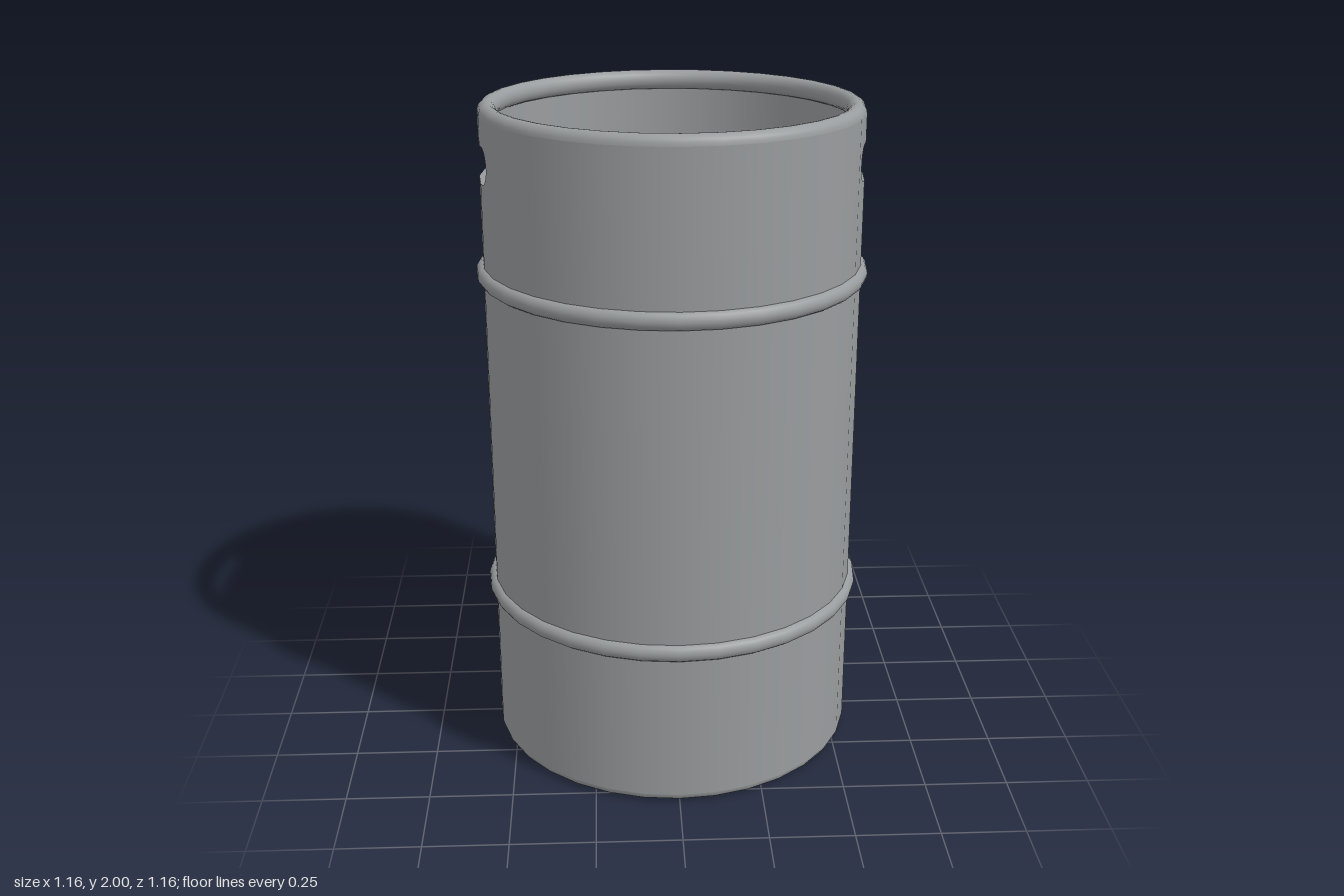
import * as THREE from 'three';
import { toCreasedNormals } from 'three/addons/utils/BufferGeometryUtils.js';

const SIDES = 32, STEP = (Math.PI * 2) / SIDES;
const OUTER = 0.56, INNER = 0.53;
const BAND_LOW = 1.68, BAND_HIGH = 1.97;               // height range holding the handle slots
const SLOT = { y: 1.835, half: 0.18, r: 0.055 };

const lathe = (pts, sides = SIDES, start = 0, length = Math.PI * 2) =>
  new THREE.LatheGeometry(pts.map(([r, y]) => new THREE.Vector2(r, y)), sides, start, length);

// Points on an elliptical arc in the lathe plane
function arc(r, y, rx, ry, from, to, n) {
  return Array.from({ length: n + 1 }, (_, i) => {
    const a = from + ((to - from) * i) / n;
    return [r + rx * Math.cos(a), y + ry * Math.sin(a)];
  });
}

// Curved double wall panel, four sides wide, with a rounded slot cut through it
function slotPanel(centre) {
  const pos = [], nor = [];
  const straight = SLOT.half - SLOT.r;
  const half = [0, STEP, 2 * STEP];
  for (let i = 0; i <= 8; i++) {
    half.push(Math.asin((straight + SLOT.r * Math.sin((i / 8) * Math.PI / 2)) / OUTER));
  }
  half.sort((a, b) => a - b);
  const angles = [...half.slice(1).map((a) => -a).reverse(), ...half];
  const opening = (a) => {
    const d = Math.max(0, Math.abs(OUTER * Math.sin(a)) - straight);
    return Math.sqrt(Math.max(0, SLOT.r ** 2 - d * d));
  };
  // Keeps points on the flat sides of the surrounding wall
  const point = (r, a, y) => {
    const local = Math.abs(a) % STEP;
    const rr = (r * Math.cos(STEP / 2)) / Math.cos(local - STEP / 2);
    return [rr * Math.sin(centre + a), y, rr * Math.cos(centre + a)];
  };
  const radial = (a, s) => [s * Math.sin(centre + a), 0, s * Math.cos(centre + a)];
  const quad = (p, n) => [0, 1, 2, 0, 2, 3].forEach((i) => { pos.push(...p[i]); nor.push(...n[i]); });

  for (let i = 0; i < angles.length - 1; i++) {
    const a = angles[i], b = angles[i + 1], ha = opening(a), hb = opening(b);
    const spans = [
      [BAND_LOW, BAND_LOW, SLOT.y - ha, SLOT.y - hb],
      [SLOT.y + ha, SLOT.y + hb, BAND_HIGH, BAND_HIGH],
    ];
    for (const [la, lb, ta, tb] of spans) {
      const na = radial(a, 1), nb = radial(b, 1), ma = radial(a, -1), mb = radial(b, -1);
      quad([point(OUTER, a, la), point(OUTER, b, lb), point(OUTER, b, tb), point(OUTER, a, ta)], [na, nb, nb, na]);
      quad([point(INNER, b, lb), point(INNER, a, la), point(INNER, a, ta), point(INNER, b, tb)], [mb, ma, ma, mb]);
    }
    if (ha + hb < 1e-4) continue;
    // Cut edges of the slot, lower then upper
    for (const s of [-1, 1]) {
      const p = [point(OUTER, a, SLOT.y + s * ha), point(OUTER, b, SLOT.y + s * hb),
        point(INNER, b, SLOT.y + s * hb), point(INNER, a, SLOT.y + s * ha)];
      if (s > 0) p.reverse();
      const [p0, p1, p2] = p.map((v) => new THREE.Vector3(...v));
      const n = p1.sub(p0).cross(p2.sub(p0)).normalize().toArray();
      quad(p, [n, n, n, n]);
    }
  }
  const g = new THREE.BufferGeometry();
  g.setAttribute('position', new THREE.Float32BufferAttribute(pos, 3));
  g.setAttribute('normal', new THREE.Float32BufferAttribute(nor, 3));
  return g;
}

export function createModel() {
  const group = new THREE.Group();
  const steel = new THREE.MeshStandardMaterial({ color: 0x999c9e });
  steel.name = 'steel';
  const add = (name, geometry) => {
    const mesh = new THREE.Mesh(geometry, steel);
    mesh.name = name;
    group.add(mesh);
  };
  const PI = Math.PI;

  // Barrel wall and the recess walls
  add('barrelWall', lathe([[OUTER, 0.025], [OUTER, BAND_LOW]]));
  add('bottomRecessWall', lathe([[INNER, 0.2], [INNER, 0.045]]));
  add('bottomPlate', lathe([[0, 0.2], [INNER, 0.2]]));

  // Top collar: plain wall front and back, slotted panels left and right
  for (const side of [PI / 2, -PI / 2]) {
    add('handlePanel', slotPanel(side));
    const start = side + 2 * STEP, length = PI - 4 * STEP;
    add('collarOutside', lathe([[OUTER, BAND_LOW], [OUTER, BAND_HIGH]], 12, start, length));
    add('collarInside', lathe([[INNER, BAND_HIGH], [INNER, BAND_LOW]], 12, start, length));
  }

  // Rolled rims
  add('topRim', lathe(arc(0.5325, 1.97, 0.0275, 0.03, 0, PI * 1.5, 15)));
  add('bottomRim', lathe(arc(0.5325, 0.025, 0.0275, 0.025, PI / 2, PI * 2, 15)));

  // Raised hoops
  for (const y of [0.503, 1.503]) {
    add('hoop', lathe(arc(OUTER - 0.005, y, 0.025, 0.027, -PI / 2, PI / 2, 8)));
  }

  // Domed lid
  add('lid', lathe([[INNER, 1.69], [0.505, 1.715], [0.46, 1.738], [0.4, 1.752], [0.3, 1.761], [0.15, 1.767], [0, 1.769]]));

  // Valve: neck, flange and shallow socket with a ball
  add('valve', toCreasedNormals(lathe([
    [0.085, 1.75], [0.085, 1.835], [0.092, 1.84], [0.096, 1.848], [0.096, 1.858], [0.09, 1.865],
    [0.05, 1.865], [0.045, 1.852], [0.034, 1.852], [0.03, 1.858], [0.017, 1.863], [0, 1.865],
  ]), 0.7));

  return group;
}
